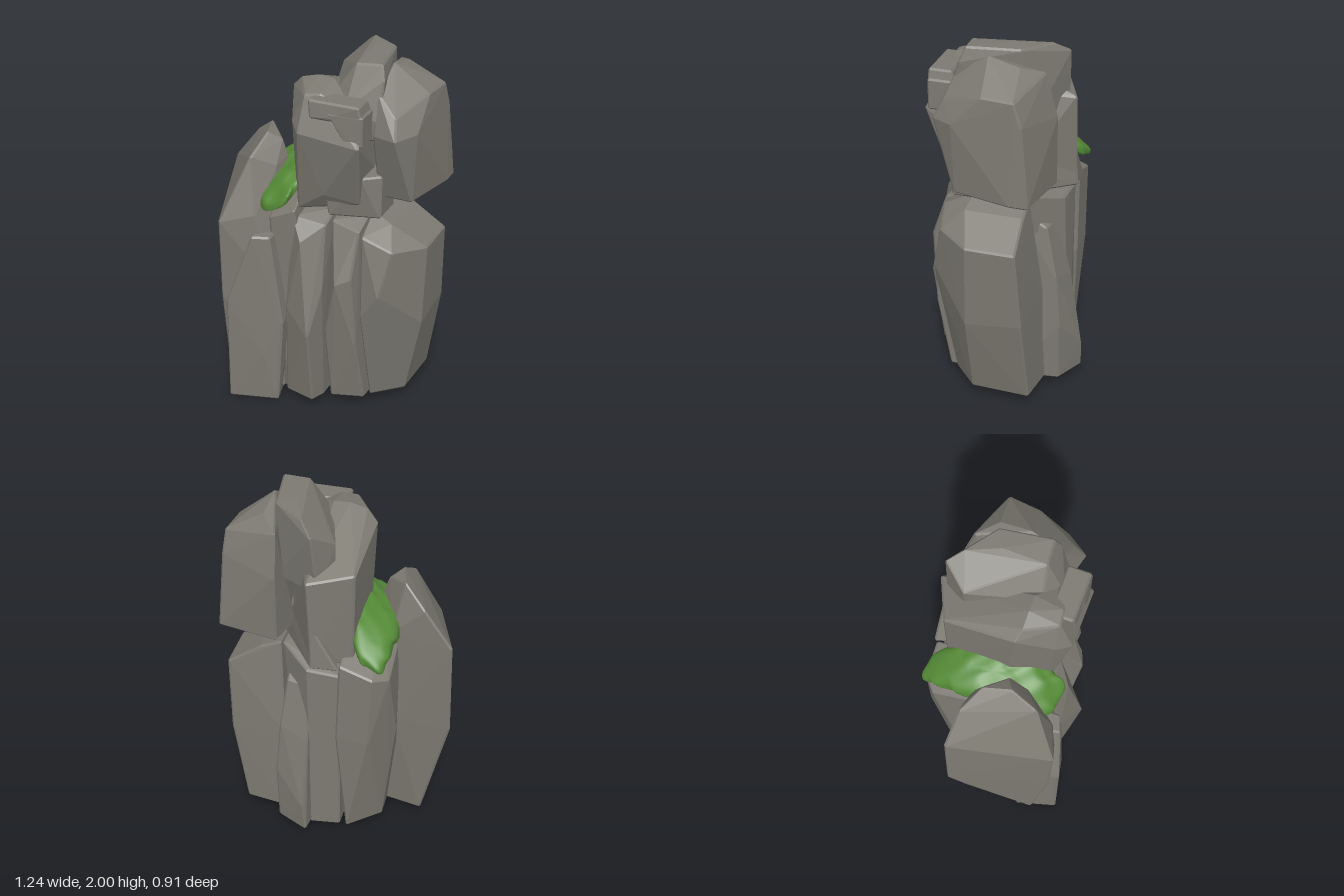
import * as THREE from 'three';
import { ConvexGeometry } from 'three/addons/geometries/ConvexGeometry.js';
import { mergeVertices } from 'three/addons/utils/BufferGeometryUtils.js';

const stone = new THREE.MeshStandardMaterial({ name: 'stone', color: 0x7d7a72 });
const moss = new THREE.MeshStandardMaterial({ name: 'moss', color: 0x548a36 });

// Convex boulder from corner points; each corner is chamfered a little
function rock(name, corners, bevel = 0.01) {
  const pts = [];
  for (const [x, y, z] of corners) {
    for (const s of [-bevel, bevel]) {
      pts.push(new THREE.Vector3(x + s, y, z), new THREE.Vector3(x, y + s, z), new THREE.Vector3(x, y, z + s));
    }
  }
  const mesh = new THREE.Mesh(new ConvexGeometry(pts), stone);
  mesh.name = name;
  return mesh;
}

// Lumpy moss strip draped over the gap beside the tower
function mossPatch() {
  let geo = new THREE.SphereGeometry(1, 64, 48);
  geo.deleteAttribute('uv');
  geo.deleteAttribute('normal');
  geo = mergeVertices(geo);
  const p = geo.attributes.position;
  const square = (v) => Math.sign(v) * Math.pow(Math.abs(v), 0.65);
  for (let i = 0; i < p.count; i++) {
    const x = square(p.getX(i)), y = square(p.getY(i)), z = square(p.getZ(i));
    const lump = 0.005 * (Math.sin(x * 5 + z * 11) + Math.sin(z * 17 - x * 4 + y * 3));
    const across = x * (0.125 + 0.015 * z);
    const px = -0.19 + 0.03 * z + across + lump;
    const py = 1.33 - 0.01 * z - 0.125 * z * z + across * 0.45 + y * 0.055 + lump;
    p.setXYZ(i, px, py, -0.005 + z * 0.365 + across * 0.15 + lump);
  }
  geo.computeVertexNormals();
  const mesh = new THREE.Mesh(geo, moss);
  mesh.name = 'mossPatch';
  return mesh;
}

export function createModel() {
  const g = new THREE.Group();
  g.name = 'rockFormation';
  g.add(
    // Lower ring of upright stones
    rock('tallSlab', [
      [-0.46, 0.05, -0.08], [-0.45, 0.05, 0.32], [-0.14, 0.05, 0.3], [-0.14, 0.05, -0.02],
      [-0.61, 0.68, -0.11], [-0.44, 0.62, 0.41], [-0.14, 0.68, 0.34], [-0.17, 0.68, 0.0], [-0.3, 0.68, -0.09],
      [-0.6, 1.22, -0.11], [-0.44, 1.08, 0.42], [-0.27, 1.12, 0.35], [-0.2, 1.2, 0.1], [-0.28, 1.25, -0.07],
      [-0.45, 1.41, -0.08], [-0.33, 1.51, 0.0], [-0.29, 1.51, 0.14], [-0.23, 1.47, 0.1], [-0.2, 1.38, 0.1],
      [-0.22, 1.36, 0.2], [-0.32, 1.42, 0.28],
    ]),
    rock('frontLeftStone', [
      [-0.45, 0.01, 0.24], [-0.39, 0.01, 0.45], [-0.14, 0.01, 0.38], [-0.2, 0.01, 0.14],
      [-0.4, 0.65, 0.25], [-0.39, 0.62, 0.45], [-0.11, 0.5, 0.37], [-0.11, 0.6, 0.2],
      [-0.26, 1.01, 0.4], [-0.18, 1.01, 0.37], [-0.18, 1.01, 0.22], [-0.28, 1.01, 0.25], [-0.2, 0.3, 0.41],
    ]),
    rock('mossyColumn', [
      [-0.26, 0.06, -0.2], [-0.1, 0.05, -0.33], [0.05, 0.05, 0.2], [-0.1, 0.05, 0.3], [-0.25, 0.05, 0.2],
      [-0.33, 0.7, -0.2], [-0.22, 0.7, -0.36], [-0.05, 0.7, -0.36],
      [-0.31, 1.1, -0.3], [-0.24, 1.12, -0.36], [-0.07, 1.18, -0.36], [-0.3, 1.2, 0],
      [-0.2, 1.28, 0], [-0.07, 1.32, 0.05], [-0.19, 1.11, 0.31], [-0.06, 1.17, 0.31],
    ]),
    rock('frontColumn', [
      [-0.09, 0.06, 0.33], [0.07, 0.06, 0.37], [0.1, 0.06, 0.3], [0.1, 0.06, 0], [-0.09, 0.06, 0],
      [0.07, 0.5, 0.43], [-0.08, 0.6, 0.35], [0.11, 0.75, 0.34],
      [-0.07, 1.12, 0.28], [0.0, 1.02, 0.35], [0.1, 1.1, 0.27], [0.11, 1.15, 0.16], [-0.07, 1.15, 0.1],
    ]),
    rock('frontRightColumn', [
      [0.16, 0.07, 0.29], [0.32, 0.07, 0.24], [0.33, 0.07, 0], [0.14, 0.07, 0],
      [0.14, 0.5, 0.33], [0.3, 0.45, 0.32], [0.28, 0.85, 0.34], [0.21, 0.82, 0.37],
      [0.14, 1.12, 0.23], [0.29, 1.1, 0.26], [0.14, 1.15, 0.1], [0.3, 1.15, 0.17], [0.3, 1.15, 0],
    ]),
    rock('rightBoulder', [
      [0.35, 0.07, 0.19], [0.49, 0.07, 0.06], [0.5, 0.07, -0.25], [0.28, 0.07, -0.28],
      [0.32, 0.6, 0.27], [0.42, 0.75, 0.29], [0.58, 0.52, 0.07], [0.58, 0.55, -0.23], [0.28, 0.6, -0.26],
      [0.595, 0.98, 0.06], [0.595, 0.98, -0.2], [0.47, 1.0, 0.23], [0.32, 1.07, 0.26],
      [0.31, 1.15, 0.1], [0.31, 1.15, -0.19], [0.42, 1.1, 0.12], [0.42, 1.1, -0.19],
    ]),
    rock('backRightStone', [
      [0.12, 0.07, -0.44], [0.28, 0.07, -0.36], [0.3, 0.06, -0.1], [0.08, 0.06, -0.1],
      [0.13, 0.22, -0.44], [0.29, 0.4, -0.36], [0.12, 0.65, -0.37], [0.27, 0.7, -0.33],
      [0.13, 0.97, -0.29], [0.24, 0.97, -0.27], [0.24, 1.08, -0.1], [0.1, 1.08, -0.1],
    ]),
    rock('backColumn', [
      [-0.05, 0.06, -0.34], [0.1, 0.06, -0.36], [0.25, 0.06, 0.1], [-0.05, 0.06, 0.1],
      [-0.05, 1.1, -0.34], [0.12, 1.1, -0.33], [0.28, 1.16, -0.2], [0.28, 1.16, 0.1], [-0.05, 1.18, 0.1],
    ]),
    // Upper tower
    rock('towerBase', [
      [-0.05, 1.18, -0.38], [0.08, 1.18, -0.39], [0.38, 1.18, 0.02], [0.38, 1.18, 0.19], [0.13, 1.18, 0.26],
      [0.08, 1.4, -0.37], [0.38, 1.4, 0.02], [0.38, 1.4, 0.18], [0.11, 1.34, 0.27], [0.3, 1.4, 0.24],
    ]),
    rock('towerBlock', [
      [-0.11, 1.18, -0.28], [0.08, 1.18, -0.38], [0.28, 1.25, -0.1], [0.28, 1.26, 0.24], [0.11, 1.3, 0.29], [-0.05, 1.18, 0.25], [-0.12, 1.18, 0.05],
      [-0.12, 1.7, -0.28], [0.1, 1.68, -0.38], [0.32, 1.62, 0.35], [-0.01, 1.65, 0.35],
      [-0.06, 1.68, 0.29], [-0.14, 1.8, 0.1], [-0.09, 1.85, 0.12], [0.0, 1.875, 0.12], [0.09, 1.87, 0.12],
      [0.0, 1.83, 0.28], [0.08, 1.84, 0.27], [0.28, 1.76, 0.27],
    ]),
    rock('capStone', [
      [0.06, 1.6, -0.33], [0.3, 1.6, -0.2], [0.35, 1.62, 0.2], [0.12, 1.6, 0.2], [0.0, 1.7, -0.22],
      [0.0, 1.84, -0.22], [0.09, 1.93, -0.34], [0.11, 1.82, 0.15], [0.2, 1.77, 0.23], [0.37, 1.72, 0.2],
      [0.15, 1.98, -0.27], [0.22, 1.99, -0.1], [0.22, 1.98, 0.13], [0.35, 1.99, 0.12], [0.31, 1.99, -0.15], [0.37, 1.92, 0.15],
    ]),
    rock('rightUpperBoulder', [
      [0.29, 1.28, -0.33], [0.605, 1.28, -0.27], [0.605, 1.28, -0.18], [0.53, 1.28, 0.13], [0.36, 1.28, 0.13], [0.24, 1.28, -0.15],
      [0.29, 1.65, -0.33], [0.58, 1.7, -0.23], [0.55, 1.66, 0.14], [0.48, 1.65, 0.25], [0.36, 1.65, 0.22],
      [0.57, 1.82, -0.19], [0.55, 1.82, -0.02], [0.46, 1.75, 0.2], [0.3, 1.88, -0.27],
      [0.37, 1.96, 0.0], [0.38, 1.92, -0.17], [0.36, 1.85, 0.17],
    ]),
    // Small broken ledge on the tower front: a bar and a drop at its end
    rock('ledgeBar', [
      [0.05, 1.83, 0.22], [0.31, 1.83, 0.22], [0.05, 1.83, 0.33], [0.31, 1.83, 0.33],
      [0.06, 1.75, 0.34], [0.15, 1.76, 0.34], [0.33, 1.75, 0.33], [0.05, 1.75, 0.2], [0.33, 1.75, 0.2],
    ]),
    rock('ledgeDrop', [
      [0.16, 1.78, 0.34], [0.33, 1.78, 0.33], [0.24, 1.69, 0.34], [0.26, 1.63, 0.34], [0.33, 1.63, 0.33],
      [0.16, 1.78, 0.2], [0.33, 1.78, 0.2], [0.26, 1.63, 0.2], [0.33, 1.63, 0.2],
    ]),
    mossPatch(),
  );
  return g;
}
